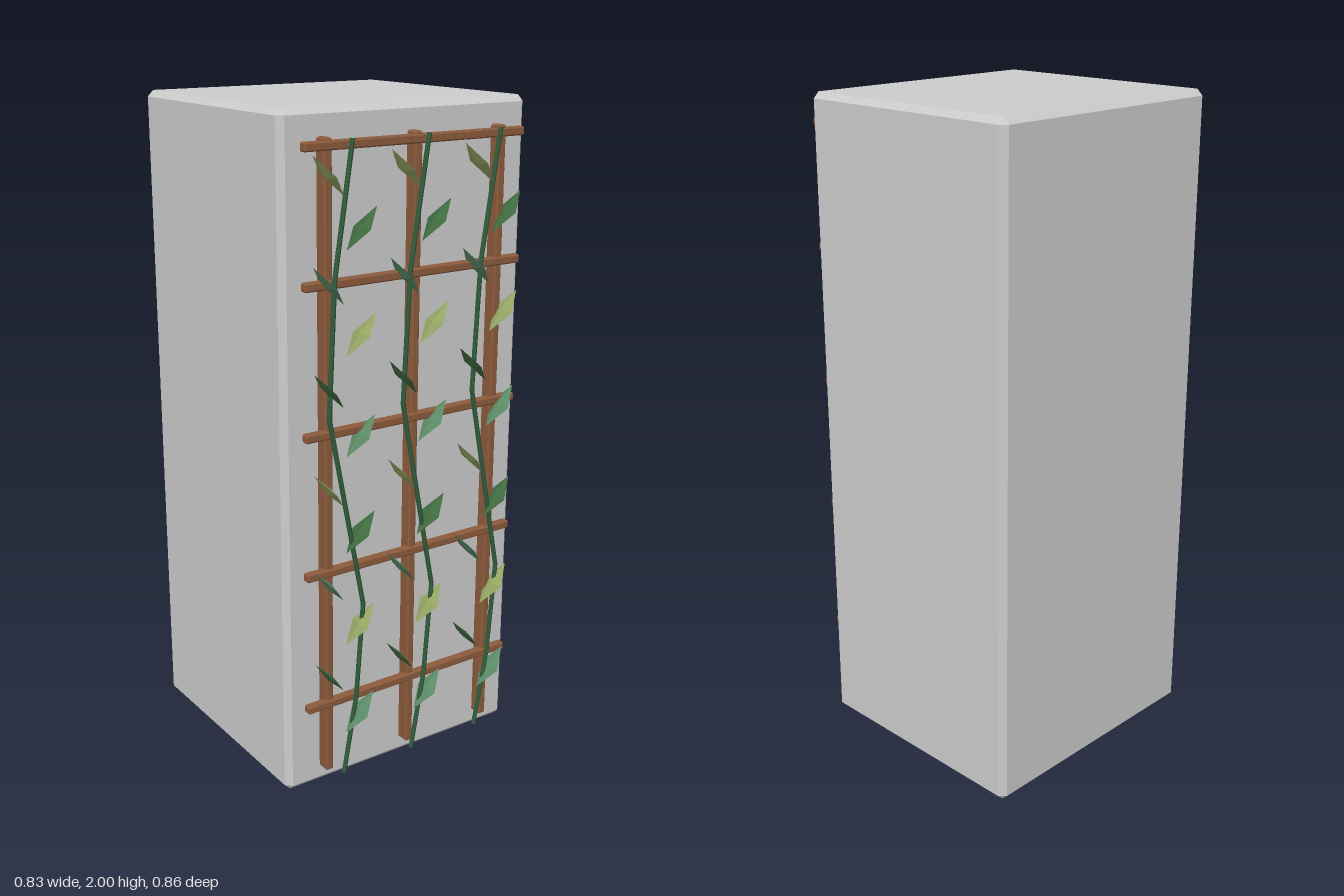
import * as THREE from 'three';
import { ConvexGeometry } from 'three/addons/geometries/ConvexGeometry.js';

const material = (color) => new THREE.MeshStandardMaterial({ color, flatShading: true });
const stone = material(0xcccccc);
const wood = material(0x8b5a3c);
const stem = material(0x315c3c);
const leafMaterials = [material(0x93a463), material(0x406b40), material(0x5c8a66)];

// Box with every edge and corner cut by a flat chamfer c
function chamferBox(w, h, d, c) {
  const half = [w / 2, h / 2, d / 2];
  const points = [];
  for (const sx of [-1, 1]) for (const sy of [-1, 1]) for (const sz of [-1, 1]) {
    for (let axis = 0; axis < 3; axis++) {
      const p = half.map((v, i) => (i === axis ? v : v - c));
      points.push(new THREE.Vector3(p[0] * sx, p[1] * sy, p[2] * sz));
    }
  }
  return new ConvexGeometry(points);
}

function add(parent, name, geometry, mat, x, y, z) {
  const mesh = new THREE.Mesh(geometry, mat);
  mesh.name = name;
  mesh.position.set(x, y, z);
  parent.add(mesh);
  return mesh;
}

// Straight stem piece between two points
function addStem(parent, a, b) {
  const dir = b.clone().sub(a);
  const mid = a.clone().add(b).multiplyScalar(0.5);
  const mesh = add(parent, 'vineStem', new THREE.CylinderGeometry(0.007, 0.007, dir.length() + 0.002, 6), stem, mid.x, mid.y, mid.z);
  mesh.quaternion.setFromUnitVectors(new THREE.Vector3(0, 1, 0), dir.normalize());
}

export function createModel() {
  const model = new THREE.Group();
  model.name = 'trellisPillar';

  // Pillar block
  add(model, 'pillar', chamferBox(0.83, 2, 0.76, 0.018), stone, 0, 1, -0.05);

  // Trellis posts and rails
  const trellis = new THREE.Group();
  trellis.name = 'trellis';
  model.add(trellis);
  const postGeometry = chamferBox(0.027, 1.865, 0.042, 0.005);
  for (const x of [-0.293, 0, 0.293]) add(trellis, 'trellisPost', postGeometry, wood, x, 0.993, 0.354);
  const railGeometry = chamferBox(0.738, 0.025, 0.026, 0.004);
  for (const y of [0.285, 0.705, 1.12, 1.54, 1.905]) add(trellis, 'trellisRail', railGeometry, wood, 0, y, 0.367);

  // Winding vines: sideways offset and height of each bend
  const bends = [[0, 0.045], [0.043, 0.29], [0.066, 0.585], [-0.05, 1.17], [-0.032, 1.55], [0.025, 1.92]];
  // Faceted leaf, long in y and wide in z
  const leafGeometry = new THREE.OctahedronGeometry(1).scale(0.009, 0.074, 0.04);

  for (const baseX of [-0.25, 0, 0.25]) {
    const vine = new THREE.Group();
    vine.name = 'vine';
    vine.position.set(baseX, 0, 0.386);
    model.add(vine);
    const path = bends.map(([x, y]) => new THREE.Vector3(x, y, 0));
    for (let i = 1; i < path.length; i++) addStem(vine, path[i - 1], path[i]);

    // Leaves alternate sides, from the top downwards
    for (let i = 0; i < 12; i++) {
      const side = i % 2 ? 1 : -1;
      const leaf = add(vine, 'leaf', leafGeometry, leafMaterials[i % 3], side * 0.053, 1.83 - i * 0.145, 0.004);
      leaf.rotation.z = -side * 0.72;
    }
  }
  return model;
}
